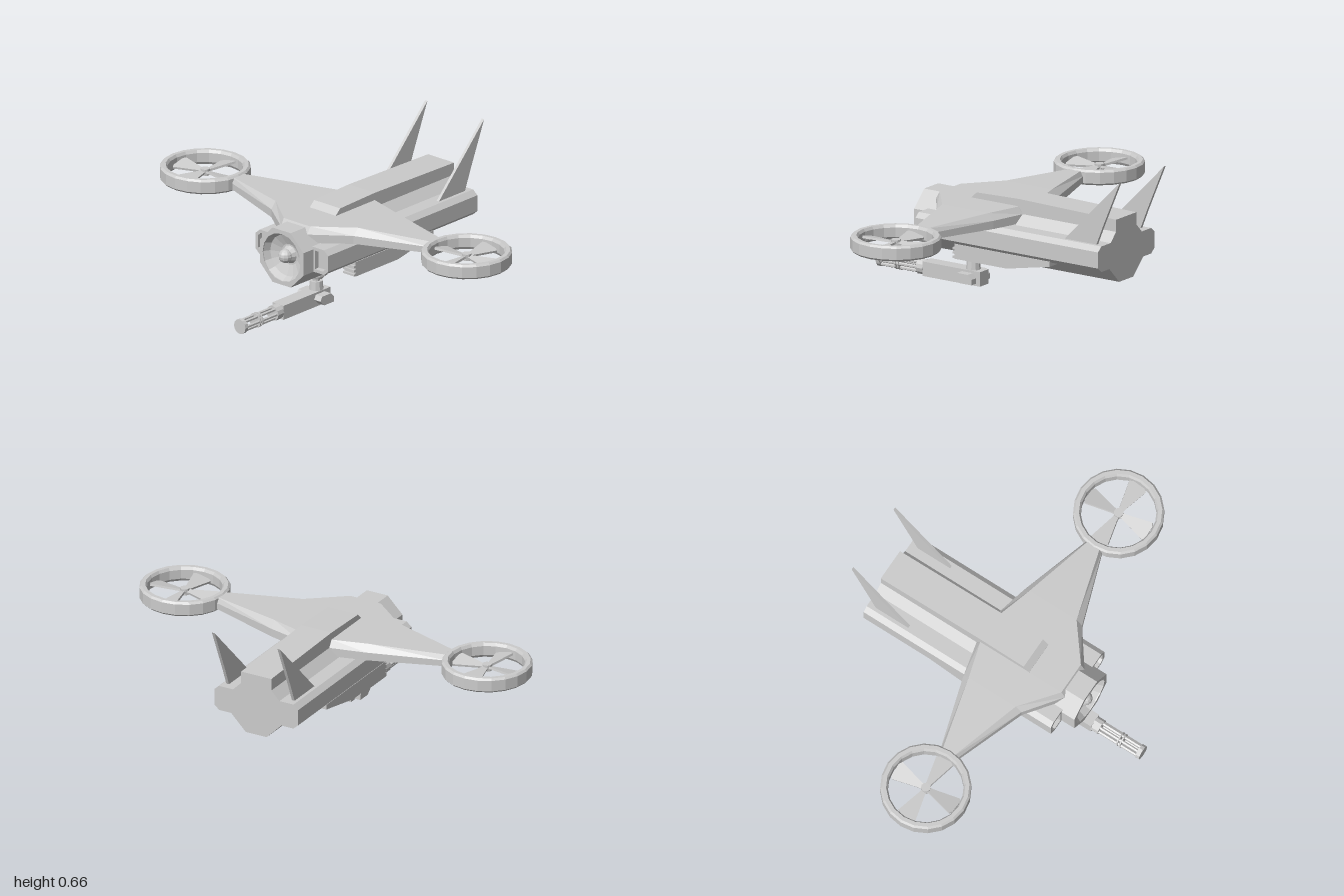
import * as THREE from 'three';

const mat = new THREE.MeshStandardMaterial({ color: 0xcccccc, flatShading: true, side: THREE.DoubleSide });

function add(parent, name, geo, x = 0, y = 0, z = 0) {
  const m = new THREE.Mesh(geo, mat);
  m.name = name;
  m.position.set(x, y, z);
  parent.add(m);
  return m;
}

const poly = pts => new THREE.Shape(pts.map(p => new THREE.Vector2(p[0], p[1])));

// Front outline (x, y) swept from z0 to z1
function alongZ(shape, z0, z1) {
  const g = new THREE.ExtrudeGeometry(shape, { depth: z1 - z0, bevelEnabled: false, curveSegments: 8 });
  return g.translate(0, 0, z0);
}

// Side outline (z, y) given a width in x, centred on x = 0
function alongX(pts, width) {
  const g = new THREE.ExtrudeGeometry(poly(pts), { depth: width, bevelEnabled: false });
  return g.translate(0, 0, -width / 2).rotateY(-Math.PI / 2);
}

// Cylinder whose axis runs along z
const cylZ = (r0, r1, len, n) => new THREE.CylinderGeometry(r0, r1, len, n).rotateX(Math.PI / 2);

const CY = 0.295; // fuselage axis height

function octagon(r) {
  const pts = [];
  for (let i = 0; i < 8; i++) {
    const a = (i + 0.5) * Math.PI / 4;
    pts.push([Math.cos(a) * r, CY + Math.sin(a) * r]);
  }
  return poly(pts);
}

// Bevelled wing spanning both sides, lofted through stations in x
function wingGeometry() {
  // x, front z, rear z, bottom y, top y, bevel inset
  const half = [
    [0.08, 0.36, -0.12, 0.362, 0.436, 0.02],
    [0.25, 0.235, -0.08, 0.365, 0.435, 0.03],
    [0.61, 0.11, 0.03, 0.376, 0.428, 0.012],
  ];
  const stations = [...half.map(s => [-s[0], ...s.slice(1)]).reverse(), ...half];
  const pos = [], idx = [];
  for (const [x, f, r, b, t, inset] of stations) {
    const m = b + (t - b) * 0.55;
    pos.push(x, b, f, x, m, f, x, t, f - inset, x, t, r + inset, x, m, r, x, b, r);
  }
  for (let s = 0; s < stations.length - 1; s++) {
    for (let k = 0; k < 6; k++) {
      const a = s * 6 + k, b = s * 6 + (k + 1) % 6;
      idx.push(a, a + 6, b, b, a + 6, b + 6);
    }
  }
  const e = (stations.length - 1) * 6;
  for (let k = 1; k < 5; k++) idx.push(0, k, k + 1, e, e + k + 1, e + k);
  const g = new THREE.BufferGeometry();
  g.setAttribute('position', new THREE.Float32BufferAttribute(pos, 3));
  g.setIndex(idx);
  g.computeVertexNormals();
  return g;
}

function createRotor() {
  const rotor = new THREE.Group();
  rotor.name = 'rotor';
  const ring = [[0.198, 0.365], [0.207, 0.374], [0.207, 0.426], [0.198, 0.435], [0.18, 0.435],
    [0.172, 0.422], [0.172, 0.378], [0.18, 0.365], [0.198, 0.365]];
  add(rotor, 'rotorDuct', new THREE.LatheGeometry(ring.map(p => new THREE.Vector2(...p)), 20));
  add(rotor, 'rotorHub', new THREE.CylinderGeometry(0.022, 0.022, 0.03, 10), 0, 0.4, 0);
  const blade = poly([[0, -0.012], [0.03, -0.014], [0.155, -0.046], [0.165, -0.03],
    [0.165, 0.03], [0.155, 0.046], [0.03, 0.014], [0, 0.012]]);
  const geo = new THREE.ExtrudeGeometry(blade, { depth: 0.01, bevelEnabled: false });
  geo.translate(0, 0, -0.005).rotateX(Math.PI / 2 + 0.22);
  for (let i = 0; i < 4; i++) {
    add(rotor, 'rotorBlade', geo, 0, 0.4, 0).rotation.y = i * Math.PI / 2;
  }
  return rotor;
}

function createGun() {
  const gun = new THREE.Group();
  gun.name = 'gunTurret';
  const z = 0.21, y = 0.042;
  // Swivel mount
  add(gun, 'mountPlate', new THREE.CylinderGeometry(0.053, 0.053, 0.025, 12), 0, 0.162, z);
  add(gun, 'mountCollar', new THREE.CylinderGeometry(0.04, 0.034, 0.02, 12), 0, 0.142, z);
  add(gun, 'mountNeck', new THREE.CylinderGeometry(0.018, 0.018, 0.04, 10), 0, 0.12, z);
  add(gun, 'mountYoke', new THREE.CylinderGeometry(0.03, 0.034, 0.045, 10), 0, 0.095, z);
  // Receiver and side trunnions
  add(gun, 'receiver', new THREE.BoxGeometry(0.068, 0.068, 0.32), 0, y, 0.31);
  add(gun, 'trunnions', alongX([[0.17, 0.02], [0.235, 0.02], [0.262, 0.045], [0.25, 0.066],
    [0.19, 0.066], [0.17, 0.045]], 0.145));
  // Rotary barrels and clamps
  add(gun, 'barrelHousing', cylZ(0.036, 0.036, 0.04, 12), 0, y, 0.487);
  for (let i = 0; i < 6; i++) {
    const a = i * Math.PI / 3;
    add(gun, 'barrel', cylZ(0.008, 0.008, 0.23, 6), Math.cos(a) * 0.024, y + Math.sin(a) * 0.024, 0.615);
  }
  for (const cz of [0.608, 0.624]) add(gun, 'barrelClamp', cylZ(0.035, 0.035, 0.006, 12), 0, y, cz);
  add(gun, 'muzzleClamp', cylZ(0.035, 0.035, 0.02, 12), 0, y, 0.72);
  return gun;
}

// Pods and fin of the +x side
function createSide() {
  const side = new THREE.Group();
  side.name = 'sideAssembly';
  const podOutline = () => poly([[0.11, 0.24], [0.195, 0.24], [0.22, 0.262], [0.22, 0.338], [0.195, 0.36], [0.11, 0.36]]);
  add(side, 'sidePod', alongZ(podOutline(), -0.64, 0.35));
  const rim = podOutline();
  rim.holes.push(new THREE.Path([[0.14, 0.255], [0.14, 0.345], [0.188, 0.345], [0.205, 0.33], [0.205, 0.27], [0.188, 0.255]]
    .map(p => new THREE.Vector2(...p))));
  add(side, 'podIntakeRim', alongZ(rim, 0.35, 0.375));
  // Tapered pod underneath with slats on its face
  add(side, 'lowerPod', alongX([[0.17, 0.175], [0.17, 0.245], [-0.36, 0.245], [-0.36, 0.222], [-0.12, 0.175]], 0.068), 0.17);
  for (let i = 0; i < 3; i++) {
    add(side, 'podSlat', new THREE.BoxGeometry(0.068, 0.01, 0.012), 0.17, 0.183 + i * 0.02, 0.174);
  }
  add(side, 'tailFin', alongX([[-0.42, 0.355], [-0.6, 0.355], [-0.638, 0.45], [-0.732, 0.67]], 0.014), 0.172);
  const rotor = createRotor();
  rotor.position.set(0.793, 0, 0.075);
  side.add(rotor);
  return side;
}

export function createModel() {
  const model = new THREE.Group();
  model.name = 'gunshipDrone';

  // Fuselage with an open nose
  add(model, 'fuselage', alongZ(octagon(0.143), -0.64, 0.38));
  const noseRim = octagon(0.143);
  noseRim.holes.push(new THREE.Path().absarc(0, CY, 0.115, 0, Math.PI * 2, true));
  add(model, 'noseRim', alongZ(noseRim, 0.38, 0.445));
  const dish = [[0.115, 0.06], [0.1, 0.03], [0.05, 0.01], [0.0, 0.01]].map(p => new THREE.Vector2(...p));
  add(model, 'noseDish', new THREE.LatheGeometry(dish, 16).rotateX(Math.PI / 2), 0, CY, 0.38);
  add(model, 'sensorStalk', cylZ(0.03, 0.045, 0.03, 12), 0, CY, 0.4);
  add(model, 'sensorBall', new THREE.SphereGeometry(0.033, 12, 8), 0, CY, 0.418);

  // Raised back
  add(model, 'spine', alongX([[0.17, 0.42], [0.165, 0.437], [0.135, 0.464], [-0.1, 0.471],
    [-0.64, 0.46], [-0.64, 0.36], [0.17, 0.36]], 0.158));

  add(model, 'wing', wingGeometry());

  const left = createSide();
  const right = createSide();
  right.scale.x = -1;
  model.add(left, right, createGun());
  return model;
}
